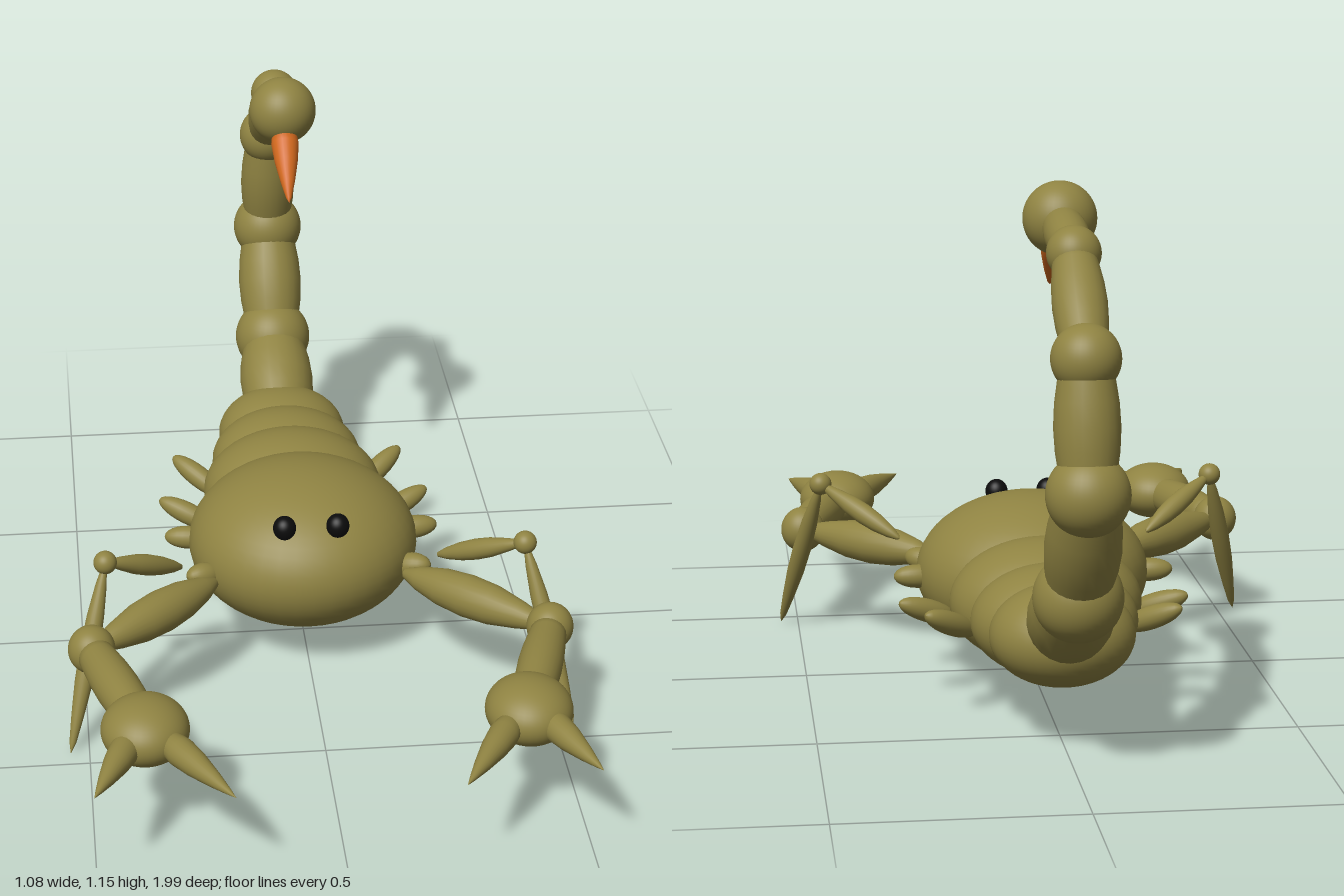
import * as THREE from 'three';

const shell = new THREE.MeshStandardMaterial({ color: 0x8f8342 });
shell.name = 'olive shell';
const sting = new THREE.MeshStandardMaterial({ color: 0xd2691e });
sting.name = 'orange sting';
const black = new THREE.MeshStandardMaterial({ color: 0x0c0c0c });
black.name = 'black eye';

// Radius profiles along a limb, as [position 0..1, radius 0..1]
const BARREL = [[0, 0], [0, 0.78], [0.15, 0.86], [0.32, 0.96], [0.5, 1], [0.68, 0.96], [0.85, 0.86], [1, 0.78], [1, 0]];
const SPINDLE = [[0, 0], [0.02, 0.25], [0.12, 0.58], [0.28, 0.88], [0.45, 1], [0.62, 0.93], [0.8, 0.65], [0.94, 0.36], [1, 0]];
const OVAL = Array.from({ length: 13 }, (_, i) => {
  const a = Math.PI * i / 12;
  return [0.5 - 0.5 * Math.cos(a), Math.sin(a)];
});
const SPIKE = [[0, 0], [0.03, 0.6], [0.12, 0.9], [0.25, 1], [0.45, 0.86], [0.7, 0.53], [0.9, 0.2], [1, 0]];
const HORN = [[0, 0], [0, 0.9], [0.15, 1], [0.4, 0.85], [0.7, 0.52], [0.93, 0.2], [1, 0]];

export function createModel() {
  const group = new THREE.Group();

  function ball(name, pos, radii, material = shell) {
    const mesh = new THREE.Mesh(new THREE.SphereGeometry(1, 40, 28), material);
    mesh.scale.set(...radii);
    mesh.position.set(...pos);
    mesh.name = name;
    group.add(mesh);
  }

  // A turned limb running from point a to point b
  function limb(name, a, b, radius, profile, material = shell) {
    const start = new THREE.Vector3(...a);
    const dir = new THREE.Vector3(...b).sub(start);
    const length = dir.length();
    const points = profile.map(([t, r]) => new THREE.Vector2(r * radius, t * length));
    const mesh = new THREE.Mesh(new THREE.LatheGeometry(points, 24), material);
    mesh.position.copy(start);
    mesh.quaternion.setFromUnitVectors(new THREE.Vector3(0, 1, 0), dir.normalize());
    mesh.name = name;
    group.add(mesh);
  }

  // Body and overlapping abdomen segments
  ball('body', [0, 0.238, -0.012], [0.255, 0.174, 0.254]);
  ball('abdomenFront', [0, 0.232, -0.26], [0.205, 0.136, 0.17]);
  ball('abdomenMiddle', [0, 0.23, -0.41], [0.175, 0.118, 0.15]);
  ball('abdomenRear', [0, 0.235, -0.54], [0.15, 0.106, 0.135]);

  // Tail: joints [y, z, radius] joined by barrel links
  const joints = [[0.24, -0.56, 0], [0.375, -0.78, 0.09], [0.61, -0.917, 0.082],
    [0.865, -0.88, 0.068], [1.04, -0.70, 0.054], [1.08, -0.485, 0.075]];
  const linkRadii = [0.088, 0.076, 0.065, 0.054, 0.045];
  joints.forEach(([y, z, r], i) => {
    if (i === 0) return;
    const [py, pz] = joints[i - 1];
    limb('tailLink' + i, [0, py, pz], [0, y, z], linkRadii[i - 1], BARREL);
    ball(i === 5 ? 'tailBulb' : 'tailJoint' + i, [0, y, z], [r, r, r]);
  });
  limb('stinger', [0, 1.04, -0.445], [0, 0.922, -0.322], 0.031, HORN, sting);

  for (const s of [1, -1]) {
    const side = s > 0 ? 'left' : 'right';
    ball(side + 'Eye', [s * 0.058, 0.374, 0.18], [0.025, 0.027, 0.025], black);

    // Pincer arm
    limb(side + 'UpperArm', [s * 0.205, 0.235, 0.155], [s * 0.487, 0.24, 0.42], 0.047, SPINDLE);
    ball(side + 'Elbow', [s * 0.487, 0.24, 0.42], [0.05, 0.052, 0.05]);
    limb(side + 'Forearm', [s * 0.487, 0.24, 0.42], [s * 0.39, 0.24, 0.735], 0.047, BARREL);
    ball(side + 'Palm', [s * 0.39, 0.24, 0.735], [0.09, 0.066, 0.097]);
    limb(side + 'OuterFinger', [s * 0.415, 0.24, 0.76], [s * 0.5, 0.24, 0.97], 0.031, SPIKE);
    limb(side + 'InnerFinger', [s * 0.355, 0.24, 0.77], [s * 0.226, 0.24, 0.995], 0.031, SPIKE);

    // Front walking leg
    limb(side + 'UpperLeg', [s * 0.28, 0.275, 0.155], [s * 0.45, 0.375, 0.293], 0.023, SPINDLE);
    ball(side + 'Knee', [s * 0.45, 0.375, 0.293], [0.025, 0.025, 0.025]);
    limb(side + 'LowerLeg', [s * 0.45, 0.375, 0.293], [s * 0.54, 0.008, 0.46], 0.021, SPINDLE);

    // Short leg stubs along the flank
    const stubs = [
      [[0.19, 0.225, 0.1], [0.268, 0.242, 0.142], 0.027],
      [[0.2, 0.235, -0.035], [0.308, 0.24, -0.047], 0.026],
      [[0.185, 0.18, -0.185], [0.31, 0.23, -0.238], 0.025],
      [[0.155, 0.185, -0.32], [0.268, 0.248, -0.41], 0.025]];
    stubs.forEach(([[ax, ay, az], [bx, by, bz], r], i) =>
      limb(side + 'LegStub' + (i + 1), [s * ax, ay, az], [s * bx, by, bz], r, OVAL));
  }
  return group;
}
